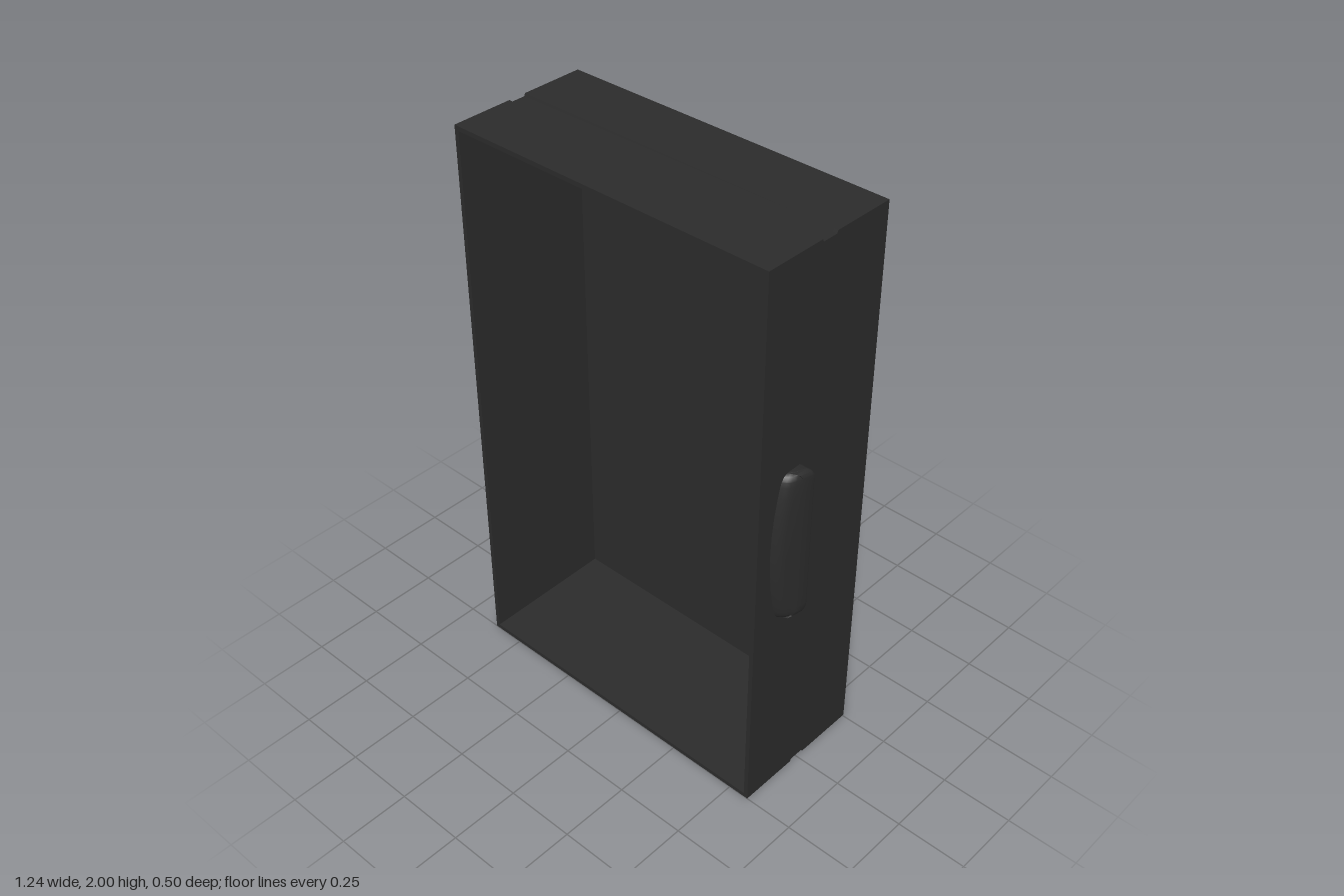
import * as THREE from 'three';
import { toCreasedNormals } from 'three/addons/utils/BufferGeometryUtils.js';

const X0 = -0.62, X1 = 0.575, Z0 = -0.255, Z1 = 0.25, H = 2, T = 0.015;
const GROOVE = 0.032, DEPTH = 0.009;

export function createModel() {
  const group = new THREE.Group();
  const material = new THREE.MeshStandardMaterial({ color: 0x2b2b2b, side: THREE.DoubleSide });
  const add = (name, geometry) => {
    const mesh = new THREE.Mesh(geometry, material);
    mesh.name = name;
    group.add(mesh);
    return mesh;
  };

  // Extrude a [z, y] outline along x
  const extrudeX = (points, x, width) => {
    const shape = new THREE.Shape(points.map(([z, y]) => new THREE.Vector2(-z, y)));
    return new THREE.ExtrudeGeometry(shape, { depth: width, bevelEnabled: false })
      .rotateY(Math.PI / 2).translate(x, 0, 0);
  };

  // Edge running along z with a shallow groove in the middle
  const groovedEdge = (y, inward) => [
    [Z0, y], [-GROOVE, y], [-GROOVE + 0.004, y + inward * DEPTH],
    [GROOVE - 0.004, y + inward * DEPTH], [GROOVE, y], [Z1, y],
  ];

  // Side walls, notched where the grooves run out
  const sideOutline = [...groovedEdge(0, 1), ...groovedEdge(H, -1).reverse()];
  add('leftWall', extrudeX(sideOutline, X1 - T, T));
  add('rightWall', extrudeX(sideOutline, X0, T));

  // Top and bottom walls with guide grooves
  const span = X1 - X0 - 2 * T;
  add('topWall', extrudeX([...groovedEdge(H, -1), [Z1, H - T], [Z0, H - T]], X0 + T, span));
  add('bottomWall', extrudeX([...groovedEdge(0, 1), [Z1, T], [Z0, T]], X0 + T, span));

  // Back panel
  const back = add('backPanel', new THREE.BoxGeometry(span, H - 2 * T, T));
  back.position.set((X0 + X1) / 2, H / 2, Z0 + T / 2);

  add('handle', handleGeometry());
  return group;
}

// Scooped pull: hook-shaped cross-sections lofted along y, hollow from behind
function handleGeometry() {
  // distance from middle, front z, rear z, height factor, hollow depth
  const half = [
    [0, 0.19, 0.055, 1, 0.085], [0.07, 0.188, 0.055, 1, 0.084], [0.14, 0.18, 0.055, 1, 0.078],
    [0.2, 0.169, 0.055, 1, 0.07], [0.24, 0.16, 0.055, 1, 0.062], [0.256, 0.154, 0.056, 0.98, 0.05],
    [0.258, 0.153, 0.057, 0.97, 0], [0.27, 0.144, 0.064, 0.87, 0], [0.277, 0.13, 0.075, 0.65, 0],
  ];
  const sections = [
    ...half.slice(1).reverse().map(([d, ...rest]) => [-d, ...rest]), ...half,
  ];
  const rings = sections.map(([d, zf, zb, k, hollow]) => [
    [0, zf], [0.012, zf - 0.008], [0.022, zf - 0.018], [0.029, zf - 0.034],
    [0.036, zb + 0.045], [0.044, zb + 0.008], [0.042, zb + 0.002], [0.038, zb],
    [0.034, zb + Math.min(hollow, 0.004)], [0.024, zb + hollow * 0.8],
    [0.015, zb + hollow], [0, zb + hollow],
  ].map(([h, z]) => [X1 + h * k, 1.003 + d, z]));

  const n = rings[0].length;
  const index = [];
  for (let i = 0; i < rings.length - 1; i++) {
    for (let j = 0; j < n; j++) {
      const a = i * n + j, b = i * n + (j + 1) % n;
      index.push(a, b, a + n, b, b + n, a + n);
    }
  }
  // End caps
  const last = (rings.length - 1) * n;
  for (let j = 1; j < n - 1; j++) {
    index.push(0, j + 1, j, last, last + j, last + j + 1);
  }
  const geometry = new THREE.BufferGeometry();
  geometry.setAttribute('position', new THREE.Float32BufferAttribute(rings.flat(2), 3));
  geometry.setIndex(index);
  return toCreasedNormals(geometry, 0.7);
}
